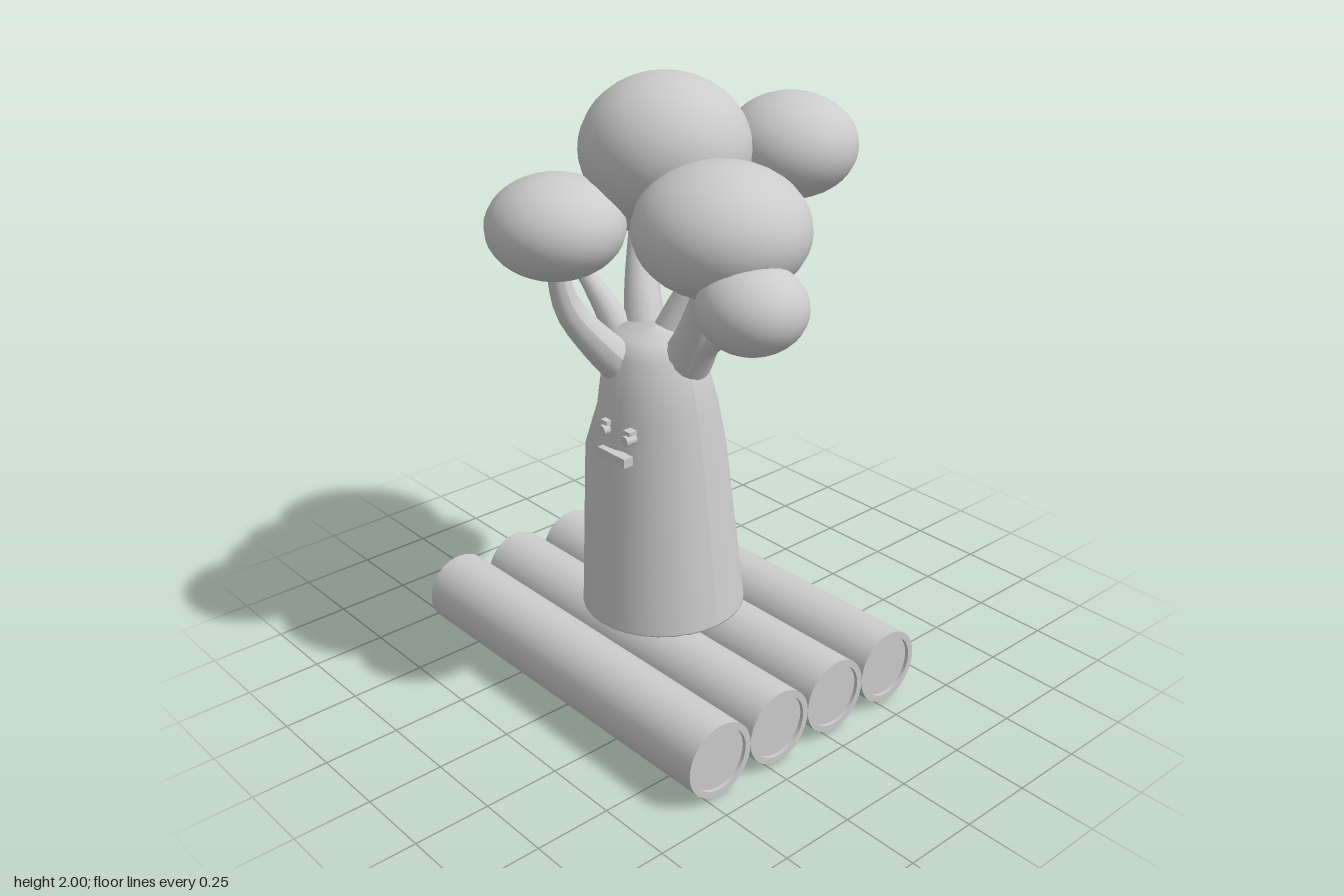
import * as THREE from 'three';

const material = new THREE.MeshStandardMaterial({ color: 0xcccccc, side: THREE.DoubleSide });

function add(parent, name, geometry, position = [0, 0, 0]) {
  const mesh = new THREE.Mesh(geometry, material);
  mesh.name = name;
  mesh.position.set(...position);
  parent.add(mesh);
  return mesh;
}

// Log along z with a raised bark rim around a recessed cut face at each end
function logGeometry(radius, length) {
  const h = length / 2, inner = radius * 0.83, dip = 0.012;
  const corners = [[0, -h + dip], [inner, -h + dip], [inner, -h], [radius, -h],
    [radius, h], [inner, h], [inner, h - dip], [0, h - dip]];
  // Separate bands keep the edges crisp
  return corners.slice(1).map((corner, i) => new THREE.LatheGeometry(
    [new THREE.Vector2(...corners[i]), new THREE.Vector2(...corner)], 32).rotateX(Math.PI / 2));
}

// Smooth skin over elliptical rings: [y, centreX, centreZ, radiusX, radiusZ]
function trunkGeometry(rings, sides) {
  const geometry = new THREE.CylinderGeometry(1, 1, 1, sides, rings.length - 1, true);
  const p = geometry.attributes.position;
  for (let i = 0; i < p.count; i++) {
    const row = rings.length - 1 - Math.floor(i / (sides + 1));
    const [y, cx, cz, rx, rz] = rings[row];
    p.setXYZ(i, cx + p.getX(i) * rx, y, cz + p.getZ(i) * rz);
  }
  geometry.computeVertexNormals();
  return geometry;
}

// Tube that thins from the first radius to the last
function limbGeometry(points, startRadius, endRadius) {
  const steps = 10, sides = 14;
  const curve = new THREE.CatmullRomCurve3(points.map(q => new THREE.Vector3(...q)));
  const geometry = new THREE.TubeGeometry(curve, steps, 1, sides);
  const p = geometry.attributes.position, v = new THREE.Vector3();
  for (let i = 0; i < p.count; i++) {
    const t = Math.floor(i / (sides + 1)) / steps;
    const centre = curve.getPointAt(t);
    v.fromBufferAttribute(p, i).sub(centre);
    v.multiplyScalar(THREE.MathUtils.lerp(startRadius, endRadius, t)).add(centre);
    p.setXYZ(i, v.x, v.y, v.z);
  }
  geometry.computeVertexNormals();
  return geometry;
}

export function createModel() {
  const model = new THREE.Group();
  model.name = 'treeOnLogs';

  // Raft of four logs, tipped slightly towards the back
  const raft = new THREE.Group();
  raft.name = 'logRaft';
  model.add(raft);
  for (let i = 0; i < 4; i++) {
    const log = new THREE.Group();
    log.name = 'log';
    log.position.set(-0.455 + i * 0.2457, 0.132, 0);
    log.rotation.x = -0.006;
    logGeometry(0.123, 1.35).forEach(g => add(log, 'logSurface', g));
    raft.add(log);
  }

  // Swollen trunk
  add(model, 'trunk', trunkGeometry([
    [0.255, -0.09, 0, 0, 0],
    [0.255, -0.09, 0, 0.27, 0.267],
    [0.26, -0.09, 0, 0.27, 0.267],
    [0.8, -0.088, -0.036, 0.228, 0.231],
    [0.95, -0.092, -0.02, 0.197, 0.192],
    [1.03, -0.098, -0.02, 0.176, 0.184],
    [1.14, -0.095, -0.035, 0.148, 0.165],
    [1.19, -0.09, -0.035, 0.11, 0.13],
    [1.21, -0.09, -0.035, 0, 0],
  ], 32));

  // Branches: points, base radius, tip radius
  const branches = [
    ['leftBranch', [[-0.02, 1.12, -0.03], [0.05, 1.27, 0], [0.13, 1.43, 0.05], [0.27, 1.68, 0.09]], 0.09, 0.04],
    ['rightBranch', [[-0.18, 1.08, -0.06], [-0.27, 1.18, -0.09], [-0.345, 1.3, -0.14], [-0.38, 1.46, -0.16]], 0.07, 0.03],
    ['frontBranch', [[-0.08, 1.1, 0.07], [-0.09, 1.23, 0.15], [-0.12, 1.47, 0.26]], 0.075, 0.035],
    ['frontTwig', [[-0.07, 1.13, 0.11], [-0.07, 1.22, 0.18], [-0.04, 1.29, 0.29], [-0.01, 1.37, 0.43]], 0.07, 0.006],
    ['backBranch', [[-0.05, 1.1, -0.12], [0, 1.26, -0.2], [0.1, 1.45, -0.32]], 0.075, 0.04],
    ['backTwig', [[-0.1, 1.1, -0.16], [-0.11, 1.22, -0.25], [-0.11, 1.36, -0.43]], 0.06, 0.018],
  ];
  for (const [name, points, r0, r1] of branches) add(model, name, limbGeometry(points, r0, r1));

  // Flattened leaf clumps: centre, horizontal radius, vertical radius
  const clumps = [
    ['topFoliage', [-0.035, 1.768, -0.045], 0.265, 0.232],
    ['backFoliage', [0.22, 1.6, -0.335], 0.27, 0.23],
    ['frontFoliage', [-0.112, 1.608, 0.29], 0.265, 0.2],
    ['leftFoliage', [0.357, 1.74, 0.1], 0.212, 0.165],
    ['rightFoliage', [-0.36, 1.56, -0.175], 0.215, 0.16],
    ['lowBackFoliage', [-0.11, 1.442, -0.477], 0.167, 0.133],
    ['lowFrontFoliage', [-0.185, 1.442, 0.497], 0.163, 0.133],
  ];
  for (const [name, centre, r, h] of clumps) {
    add(model, name, new THREE.SphereGeometry(1, 28, 20), centre).scale.set(r, h, r);
  }

  // Small face on the trunk's right side: two pegs and a bar
  for (const z of [-0.03, 0.08]) {
    add(model, 'eye', new THREE.CylinderGeometry(0.018, 0.018, 0.04, 12).rotateZ(Math.PI / 2), [-0.297, 0.92, z]);
    add(model, 'brow', new THREE.BoxGeometry(0.03, 0.014, 0.03), [-0.292, 0.945, z]);
  }
  add(model, 'mouth', new THREE.BoxGeometry(0.035, 0.03, 0.13), [-0.308, 0.85, 0.025]);

  return model;
}
